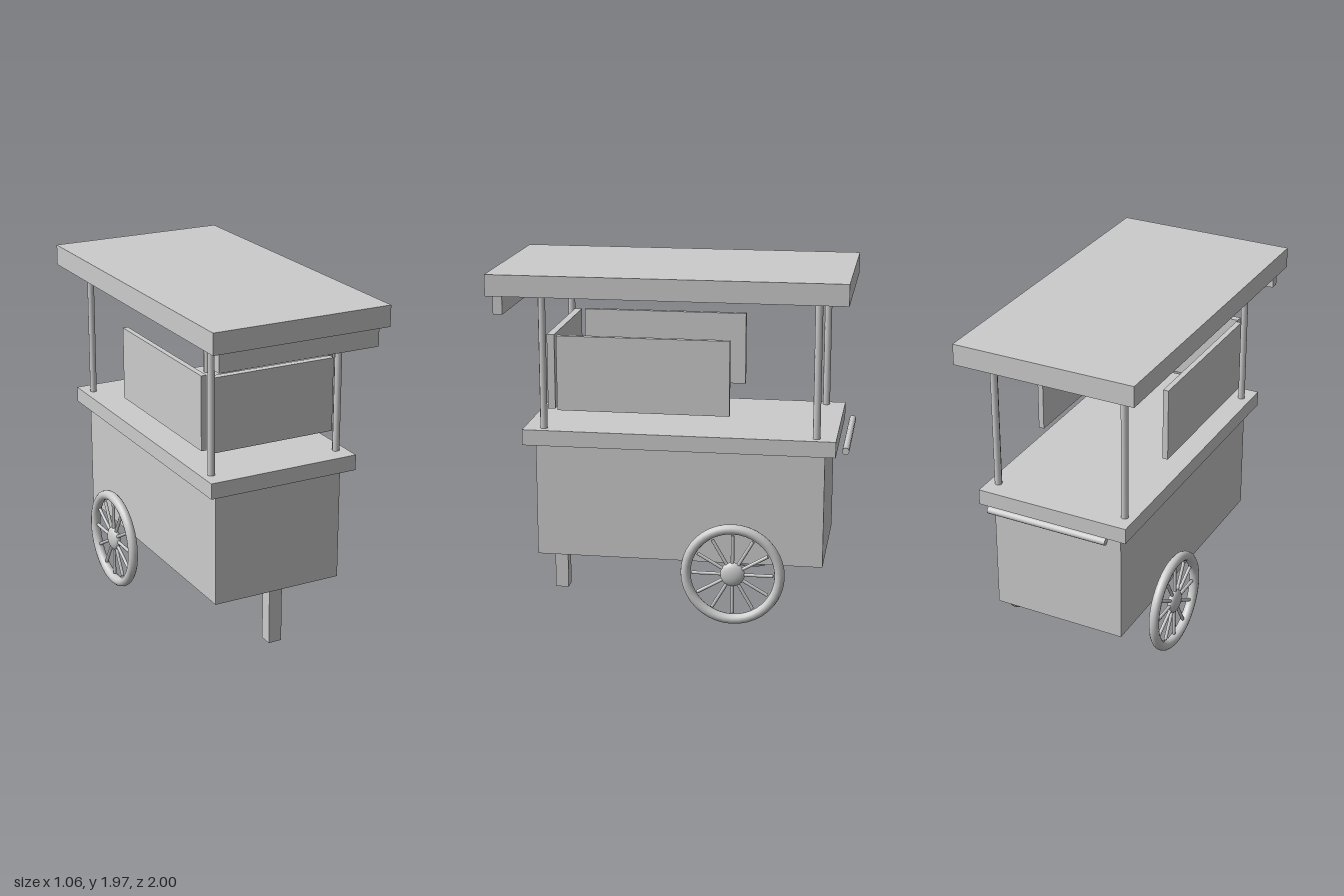
import * as THREE from 'three';

export function createModel() {
  const cart = new THREE.Group();
  cart.name = 'vendingCart';
  const grey = new THREE.MeshStandardMaterial({ color: 0xcccccc });
  grey.name = 'light grey';

  const add = (name, geometry, parent = cart) => {
    const mesh = new THREE.Mesh(geometry, grey);
    mesh.name = name;
    parent.add(mesh);
    return mesh;
  };

  // Box given by its lower and upper limits on each axis
  const box = (name, [x0, x1], [y0, y1], [z0, z1]) => {
    const mesh = add(name, new THREE.BoxGeometry(x1 - x0, y1 - y0, z1 - z0));
    mesh.position.set((x0 + x1) / 2, (y0 + y1) / 2, (z0 + z1) / 2);
    return mesh;
  };

  // Cabinet, counter, prop leg and canopy
  box('cabinet', [-0.39, 0.39], [0.33, 0.99], [-0.868, 0.766]);
  box('counter', [-0.45, 0.45], [0.99, 1.08], [-0.93, 0.83]);
  box('propLeg', [-0.04, 0.04], [0, 0.33], [0.67, 0.747]);
  box('roof', [-0.53, 0.53], [1.85, 1.97], [-0.988, 1]);
  box('roofSign', [-0.48, 0.48], [1.74, 1.85], [0.917, 0.97]);

  // Screens above the counter
  box('frontScreen', [-0.375, 0.375], [1.19, 1.615], [0.652, 0.694]);
  box('leftScreen', [0.375, 0.407], [1.19, 1.615], [-0.337, 0.634]);
  box('rightScreen', [-0.407, -0.375], [1.19, 1.615], [-0.337, 0.634]);

  // Roof posts
  const postGeometry = new THREE.CylinderGeometry(0.021, 0.021, 0.87, 8);
  for (const x of [-0.39, 0.39]) {
    for (const z of [0.716, -0.82]) {
      add('roofPost', postGeometry).position.set(x, 1.415, z);
    }
  }

  // Push handle across the back
  const handle = add('pushHandle', new THREE.CylinderGeometry(0.02, 0.02, 0.72, 12));
  handle.rotation.z = Math.PI / 2;
  handle.position.set(0, 1.005, -0.98);

  // Wheels: tyre, flattened hub and twelve spokes, modelled in the XY plane
  const tyreGeometry = new THREE.TorusGeometry(0.266, 0.029, 12, 40);
  const hubGeometry = new THREE.SphereGeometry(0.07, 20, 14);
  hubGeometry.scale(1, 1, 0.44);
  const spokeGeometry = new THREE.CylinderGeometry(0.01, 0.01, 0.19, 8);
  spokeGeometry.translate(0, 0.135, 0);
  for (const side of [1, -1]) {
    const wheel = new THREE.Group();
    wheel.name = side > 0 ? 'leftWheel' : 'rightWheel';
    add('tyre', tyreGeometry, wheel);
    add('hub', hubGeometry, wheel);
    for (let i = 0; i < 12; i++) {
      add('spoke', spokeGeometry, wheel).rotation.z = (i * Math.PI) / 6;
    }
    wheel.rotation.y = (side * Math.PI) / 2;
    wheel.position.set(side * 0.478, 0.295, -0.37);
    cart.add(wheel);
  }

  return cart;
}
